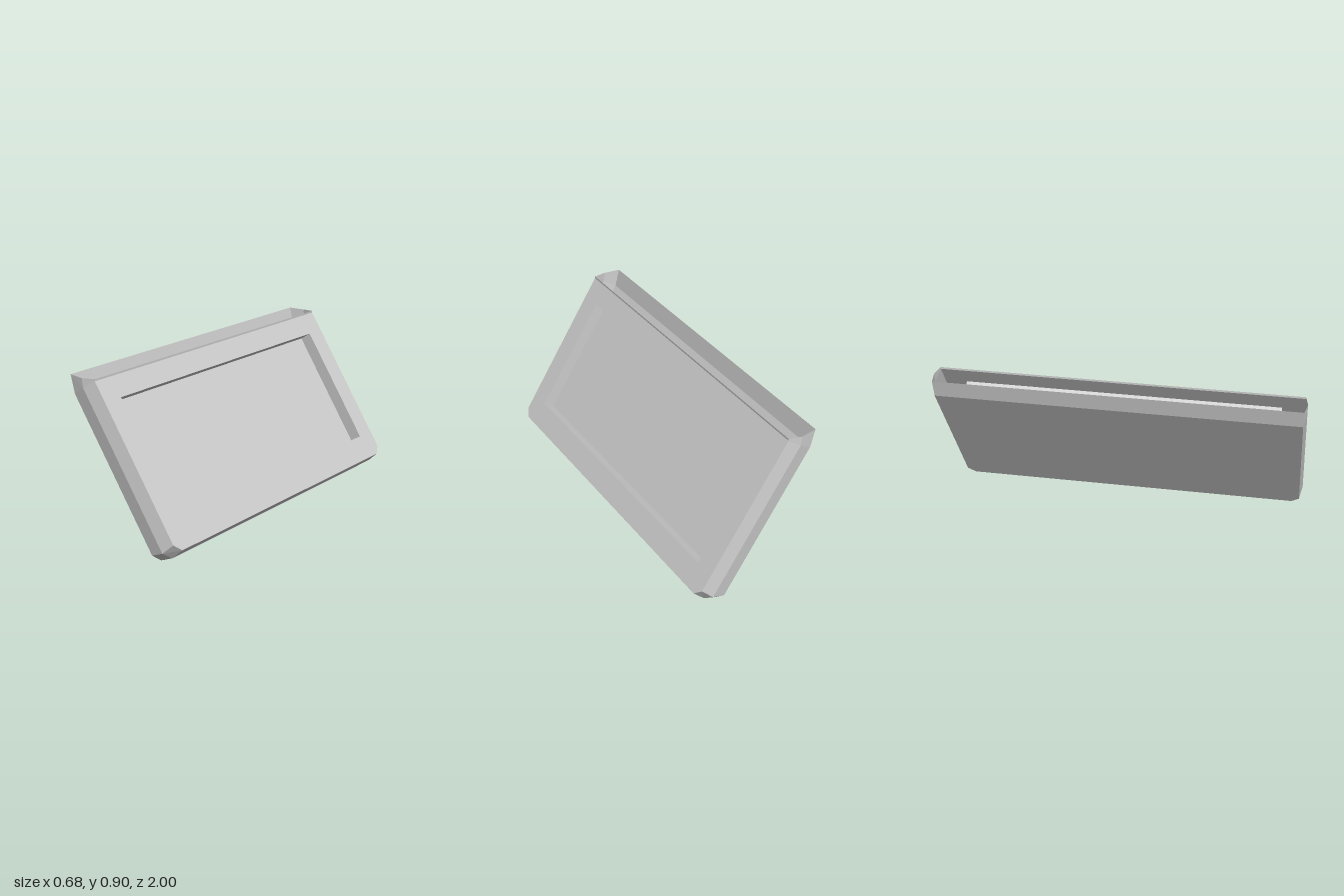
import * as THREE from 'three';

const material = new THREE.MeshStandardMaterial({ color: 0xcccccc, flatShading: true, side: THREE.DoubleSide });

// Panel frame: x across, y up the slope, z out of the front face.
const THICK = 0.166, FOLD = 0.951;
const RECESS = { x: 0.863, y0: 0.139, y1: 0.832, depth: 0.071 };

function quadMesh(name, quads) {
  const pos = [];
  for (const [a, b, c, d] of quads) pos.push(...a, ...b, ...c, ...a, ...c, ...d);
  const g = new THREE.BufferGeometry();
  g.setAttribute('position', new THREE.Float32BufferAttribute(pos, 3));
  g.computeVertexNormals();
  const mesh = new THREE.Mesh(g, material);
  mesh.name = name;
  return mesh;
}

// Quads joining two open outlines of equal length
function loft(a, b) {
  return a.slice(1).map((p, i) => [a[i], p, b[i + 1], b[i]]);
}

// U-shaped outline: lip, fold, chamfer and bottom corner, mirrored
function outline(z, half, corner, bottom, chamfer, lip) {
  const right = [[corner, bottom, z], [half, chamfer, z], [half, FOLD, z], [half, lip[0], lip[1]]];
  const left = right.map(([x, y, d]) => [-x, y, d]).reverse();
  return [...left, ...right];
}

function faceShape(ring) {
  return new THREE.Shape(ring.slice(1, -1).map(([x, y]) => new THREE.Vector2(x, y)));
}

export function createModel() {
  const panel = new THREE.Group();
  panel.name = 'leaningPanel';

  const back = outline(0, 0.985, 0.942, 0, 0.042, [1.049, 0.033]);
  const middle = outline(THICK / 2 + 0.003, 1, 0.95, -0.014, 0.028, [0.998, 0.107]);
  const front = outline(THICK, 0.985, 0.942, 0, 0.042, [0.96, 0.172]);

  // Bulging rim around the sides and bottom
  panel.add(quadMesh('rim', [...loft(back, middle), ...loft(middle, front)]));

  // Level lips above the folds, leaving the top open
  panel.add(quadMesh('backLip', [[back[6], back[1], back[0], back[7]]]));
  panel.add(quadMesh('frontLip', [[front[1], front[6], front[7], front[0]]]));

  // Back face
  const backFace = new THREE.Mesh(new THREE.ShapeGeometry(faceShape(back)), material);
  backFace.name = 'backFace';
  const index = backFace.geometry.index;
  for (let i = 0; i < index.count; i += 3) {
    const b = index.getX(i + 1);
    index.setX(i + 1, index.getX(i + 2));
    index.setX(i + 2, b);
  }
  backFace.geometry.computeVertexNormals();
  panel.add(backFace);

  // Front frame with a rectangular opening
  const { x, y0, y1, depth } = RECESS;
  const corners = [[-x, y0], [x, y0], [x, y1], [-x, y1]];
  const frame = faceShape(front);
  frame.holes.push(new THREE.Path(corners.map(([px, py]) => new THREE.Vector2(px, py)).reverse()));
  const frontFrame = new THREE.Mesh(new THREE.ShapeGeometry(frame), material);
  frontFrame.name = 'frontFrame';
  frontFrame.position.z = THICK;
  panel.add(frontFrame);

  // Recess walls and floor
  const loop = (z) => [...corners, corners[0]].map(([px, py]) => [px, py, z]);
  const outer = loop(THICK), inner = loop(THICK - depth);
  panel.add(quadMesh('recessWalls', loft(outer, inner)));
  panel.add(quadMesh('recessFloor', [inner.slice(0, 4)]));

  // Lean the panel back so its face looks toward +x and upward
  const up = new THREE.Vector3(-0.541, 0.841, 0).normalize();
  const out = new THREE.Vector3(-up.x, 0, 0).set(up.y, -up.x, 0);
  panel.quaternion.setFromRotationMatrix(
    new THREE.Matrix4().makeBasis(new THREE.Vector3(0, 0, -1), up, out));
  panel.position.set(0.2, 0, 0);

  const model = new THREE.Group();
  model.name = 'model';
  model.add(panel);
  return model;
}
